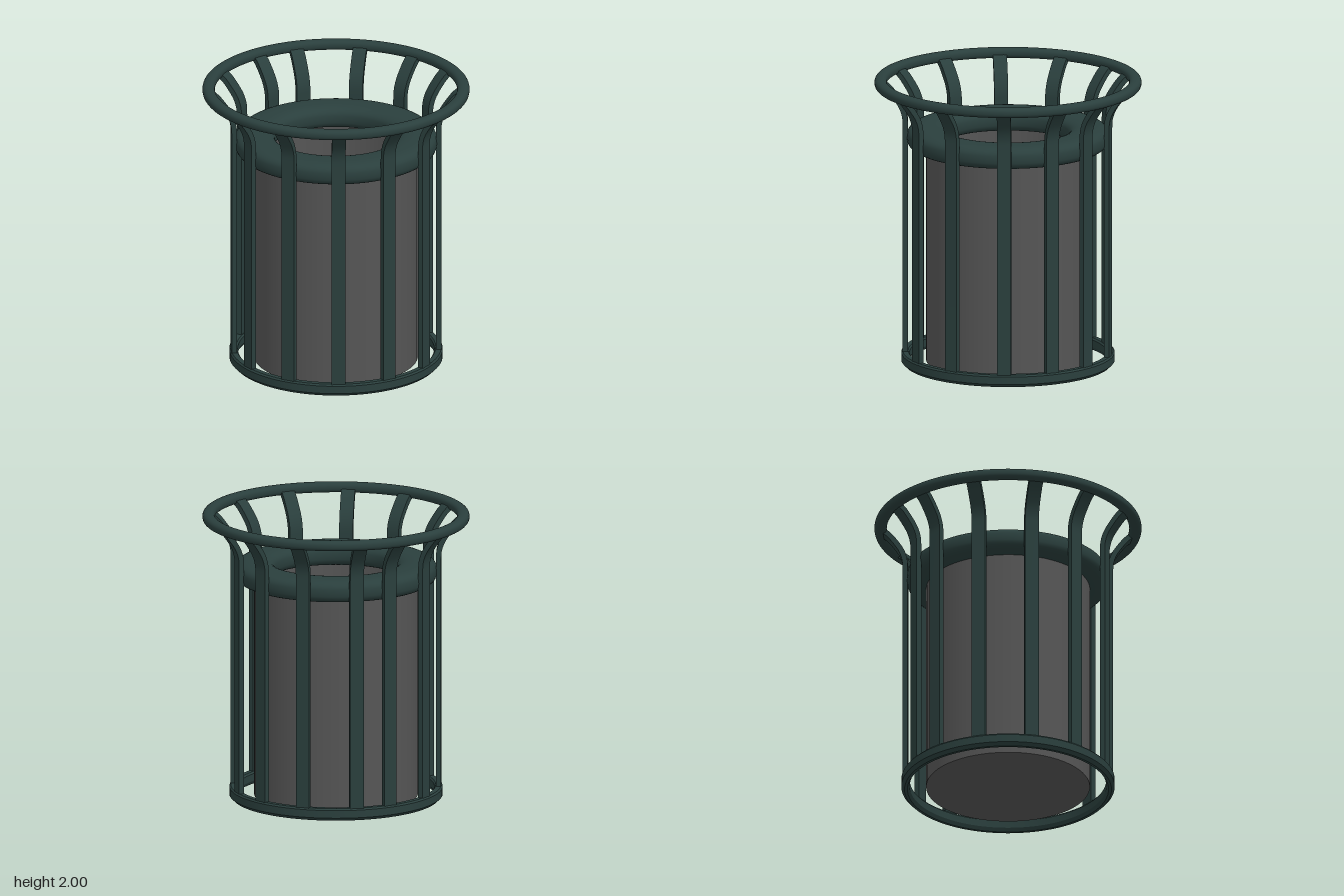
import * as THREE from 'three';
import { toCreasedNormals } from 'three/addons/utils/BufferGeometryUtils.js';

const green = new THREE.MeshStandardMaterial({ color: 0x2a3f3d });
const grey = new THREE.MeshStandardMaterial({ color: 0x555555, side: THREE.DoubleSide });

// Ring with a rounded cross-section; a lower power gives a boxier section
function roundedRing(name, radius, y, halfWidth, halfHeight, power) {
  const bend = v => Math.sign(v) * Math.pow(Math.abs(v), power);
  const profile = [];
  for (let i = 0; i <= 32; i++) {
    const a = -Math.PI / 2 + (i / 32) * Math.PI * 2;
    profile.push(new THREE.Vector2(radius + halfWidth * bend(Math.cos(a)), y + halfHeight * bend(Math.sin(a))));
  }
  const mesh = new THREE.Mesh(new THREE.LatheGeometry(profile, 96), green);
  mesh.name = name;
  return mesh;
}

// Flat bar, straight below and flaring outward at the top
function slatGeometry(width, thickness) {
  const flare = new THREE.CatmullRomCurve3([
    [0.70, 1.66], [0.703, 1.73], [0.725, 1.80], [0.77, 1.87], [0.815, 1.925], [0.86, 1.96],
  ].map(([r, y]) => new THREE.Vector3(r, y, 0)));
  const inner = [new THREE.Vector2(0.70 - thickness / 2, 0.03)];
  const outer = [new THREE.Vector2(0.70 + thickness / 2, 0.03)];
  for (let i = 0; i <= 14; i++) {
    const p = flare.getPoint(i / 14);
    const t = i === 0 ? new THREE.Vector3(0, 1, 0) : flare.getTangent(i / 14);
    const nx = t.y * thickness / 2, ny = -t.x * thickness / 2;
    outer.push(new THREE.Vector2(p.x + nx, p.y + ny));
    inner.push(new THREE.Vector2(p.x - nx, p.y - ny));
  }
  const shape = new THREE.Shape([...outer, ...inner.reverse()]);
  const geo = new THREE.ExtrudeGeometry(shape, { depth: width, bevelEnabled: false });
  geo.translate(0, 0, -width / 2);
  return toCreasedNormals(geo, 0.6);
}

export function createModel() {
  const model = new THREE.Group();
  model.name = 'litterBin';

  // Flared top rim and the lid ring around the opening
  model.add(roundedRing('topRim', 0.868, 1.964, 0.042, 0.036, 0.85));
  model.add(roundedRing('lidRing', 0.552, 1.585, 0.137, 0.08, 0.72));

  // Base hoop with chamfered lower edges
  const hoop = [
    [0.67, 0.025], [0.685, 0], [0.705, 0], [0.727, 0.022], [0.727, 0.075],
    [0.717, 0.087], [0.68, 0.087], [0.67, 0.075], [0.67, 0.025],
  ].map(([r, y]) => new THREE.Vector2(r, y));
  const base = new THREE.Mesh(toCreasedNormals(new THREE.LatheGeometry(hoop, 96), 0.4), green);
  base.name = 'baseHoop';
  model.add(base);

  // Slats, slightly unevenly spaced around the cage
  const slats = new THREE.Group();
  slats.name = 'slats';
  const slatGeo = slatGeometry(0.095, 0.036);
  const angles = [1.2, 25.5, 52.7, 83.6, 112, 141, 169.6, 199.3, 226.8, 256.3, 284, 303.7, 333.8];
  for (const angle of angles) {
    const slat = new THREE.Mesh(slatGeo, green);
    slat.name = 'slat';
    slat.rotation.y = -THREE.MathUtils.degToRad(angle);
    slats.add(slat);
  }
  model.add(slats);

  // Inner container, open at the top
  const wall = new THREE.Mesh(new THREE.CylinderGeometry(0.558, 0.558, 1.56, 64, 1, true), grey);
  wall.name = 'linerWall';
  wall.position.y = 0.8;
  const floor = new THREE.Mesh(new THREE.CircleGeometry(0.558, 64), grey);
  floor.name = 'linerFloor';
  floor.rotation.x = -Math.PI / 2;
  floor.position.y = 0.02;
  model.add(wall, floor);

  return model;
}
